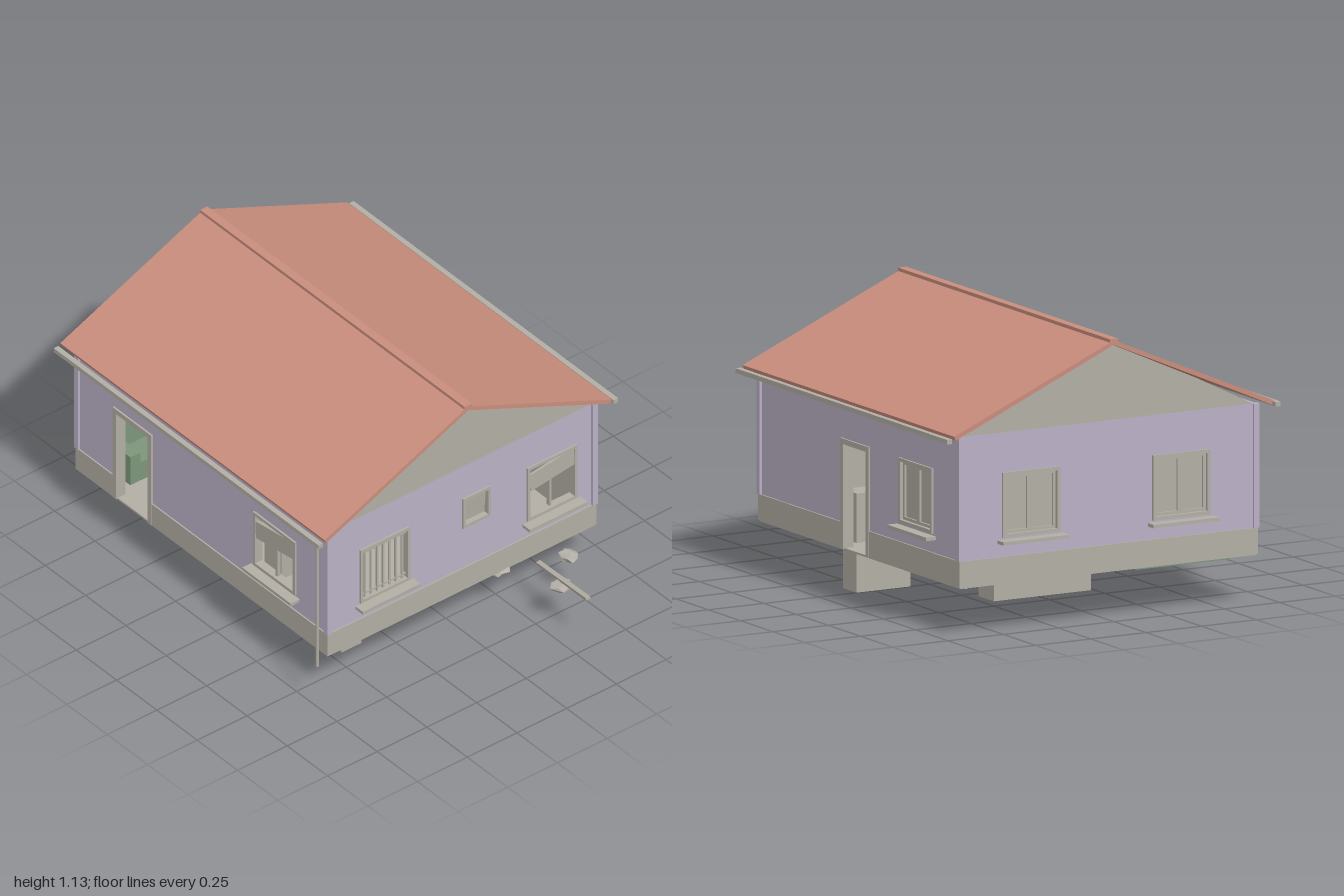
import * as THREE from 'three';

const mat = (name, color) => Object.assign(new THREE.MeshStandardMaterial({ color }), { name });

export function createModel() {
  const house = new THREE.Group();
  house.name = 'house';
  const plaster = mat('greyPlaster', 0xb2aea5);
  const paint = mat('lilacPaint', 0xbab1c6);
  const tile = mat('terracotta', 0xc98d7d);
  const green = mat('greenFabric', 0x7d967a);
  const CX = -0.18, HW = 0.775, HD = 0.67, FLOOR = 0.2, BAND = 0.305, EAVE = 0.8;

  const add = (parent, name, geo, material) => {
    const m = new THREE.Mesh(geo, material);
    m.name = name;
    parent.add(m);
    return m;
  };
  // box given by its limits on each axis
  const box = (parent, name, x0, x1, y0, y1, z0, z1, material = plaster) => {
    const m = add(parent, name, new THREE.BoxGeometry(x1 - x0, y1 - y0, z1 - z0), material);
    m.position.set((x0 + x1) / 2, (y0 + y1) / 2, (z0 + z1) / 2);
    return m;
  };
  // profile in (z, y), extruded from x0 to x1
  const prism = (parent, name, pts, x0, x1, material) => {
    const shape = new THREE.Shape(pts.map(([z, y]) => new THREE.Vector2(-z, y)));
    const g = new THREE.ExtrudeGeometry(shape, { depth: x1 - x0, bevelEnabled: false });
    g.rotateY(Math.PI / 2).translate(x0, 0, 0);
    return add(parent, name, g, material);
  };

  // rectangular trim around an opening
  const frame = (g, name, [a, b, c, d], t, z0, z1, bottom = true) => {
    box(g, name, a, a + t, c, d, z0, z1);
    box(g, name, b - t, b, c, d, z0, z1);
    box(g, name, a + t, b - t, d - t, d, z0, z1);
    if (bottom) box(g, name, a + t, b - t, c, c + t, z0, z1);
  };

  // window kinds: pane (closed), bars (grille), broken (hanging board), vent (small)
  const addWindow = (g, d, { rect, kind }) => {
    const [a, b, c, e] = rect, m = (a + b) / 2;
    frame(g, 'windowFrame', rect, 0.014, d - 0.025, d + 0.008);
    if (kind !== 'vent') box(g, 'windowSill', a - 0.02, b + 0.02, c - 0.022, c - 0.008, d - 0.01, d + 0.045);
    if (kind === 'pane') {
      for (const [p, q] of [[a + 0.014, m], [m, b - 0.014]]) {
        frame(g, 'casement', [p, q, c + 0.014, e - 0.014], 0.012, d - 0.022, d - 0.006);
        box(g, 'windowPane', p, q, c + 0.014, e - 0.014, d - 0.02, d - 0.014);
      }
    } else if (kind === 'bars') {
      for (let i = 1; i < 8; i++) {
        const u = a + ((b - a) * i) / 8;
        box(g, 'windowBar', u - 0.004, u + 0.004, c, e, d - 0.012, d - 0.004);
      }
      for (const y of [c + 0.03, e - 0.03]) box(g, 'windowBar', a, b, y - 0.004, y + 0.004, d - 0.014, d - 0.006);
    } else if (kind === 'broken') {
      box(g, 'mullion', m - 0.006, m + 0.006, c, e, d - 0.022, d - 0.006);
      const board = box(g, 'hangingBoard', a + 0.012, b - 0.012, e - 0.105, e - 0.025, d - 0.004, d + 0.006);
      board.rotation.z = 0.13;
    } else {
      const pane = box(g, 'ventPane', a + 0.01, b - 0.01, c + 0.01, e - 0.01, d - 0.018, d - 0.012);
      pane.rotation.x = 0.08;
    }
  };

  // wall in its own frame, outside facing +z, with notches for doors and holes for windows
  const addWall = (name, w, d, turn, doors, windows) => {
    const g = new THREE.Group();
    g.name = name;
    g.position.x = CX;
    g.rotation.y = turn;
    house.add(g);
    const layer = (part, hw, y0, y1, z0, z1, material) => {
      const s = new THREE.Shape();
      s.moveTo(-hw, y0);
      for (const [a, b, , e] of doors) {
        const top = Math.min(e, y1);
        if (top < y1) s.lineTo(a, y0).lineTo(a, top).lineTo(b, top).lineTo(b, y0);
      }
      s.lineTo(hw, y0).lineTo(hw, y1).lineTo(-hw, y1);
      if (y1 > BAND) {
        for (const { rect: [a, b, c, e] } of windows) {
          s.holes.push(new THREE.Path().moveTo(a, c).lineTo(a, e).lineTo(b, e).lineTo(b, c));
        }
      }
      const geo = new THREE.ExtrudeGeometry(s, { depth: z1 - z0, bevelEnabled: false }).translate(0, 0, z0);
      add(g, part, geo, material);
    };
    layer('outerWall', w, FLOOR, EAVE, d - 0.02, d, paint);
    layer('innerWall', w - 0.02, FLOOR, EAVE, d - 0.04, d - 0.02, plaster);
    // plinth runs between the doors
    let start = -w - 0.006;
    for (const [a, b] of [...doors, [w + 0.006, 0]]) {
      box(g, 'plinth', start, a, FLOOR, BAND, d - 0.01, d + 0.006);
      start = b;
    }
    for (const r of doors) frame(g, 'doorFrame', r, 0.022, d - 0.04, d + 0.008, false);
    windows.forEach((win) => addWindow(g, d, win));
  };

  const win = (a, b, kind, c = 0.38, d = 0.64) => ({ rect: [a, b, c, d], kind });
  addWall('frontWall', HW, HD, 0, [[-0.55, -0.31, FLOOR, 0.64]], [win(0.32, 0.58, 'broken')]);
  addWall('backWall', HW, HD, Math.PI, [[-0.14, 0.08, FLOOR, 0.64]], [win(0.31, 0.57, 'pane')]);
  addWall('gableWallLeft', HD, HW, Math.PI / 2, [],
    [win(-0.51, -0.26, 'bars'), win(0.005, 0.145, 'vent', 0.5, 0.645), win(0.33, 0.58, 'broken')]);
  addWall('gableWallRight', HD, HW, -Math.PI / 2, [], [win(-0.48, -0.22, 'pane'), win(0.2, 0.46, 'pane')]);

  // corner pilasters, floor and ceiling
  for (const sx of [-1, 1]) {
    for (const sz of [-1, 1]) {
      const p = box(house, 'cornerPilaster', -0.0125, 0.0125, BAND, EAVE, -0.0125, 0.0125, paint);
      p.position.x = CX + sx * (HW - 0.0025);
      p.position.z = sz * (HD - 0.0025);
    }
    const x = CX + sx * (HW - 0.01);
    prism(house, 'gable', [[-0.655, EAVE], [0.655, EAVE], [0.4, 0.928], [0, 1.108], [-0.4, 0.928]], x - 0.01, x + 0.01, plaster);
  }
  box(house, 'floor', CX - HW, CX + HW, 0.195, 0.203, -HD, HD);
  box(house, 'ceiling', CX - HW + 0.02, CX + HW - 0.02, 0.79, 0.799, -HD + 0.02, HD - 0.02);

  // roof, ridge cap, gutters and downpipe
  prism(house, 'roof', [[0, 1.126], [-0.722, 0.815], [-0.715, 0.798], [0, 1.108], [0.715, 0.798], [0.722, 0.815]], -1, 0.64, tile);
  box(house, 'ridgeCap', -1, 0.64, 1.112, 1.132, -0.018, 0.018, tile);
  for (const s of [-1, 1]) {
    const gutter = box(house, 'gutter', -1, 0.64, 0.787, 0.806, -0.0115, 0.0115);
    gutter.position.z = s * 0.743;
  }
  const pipe = add(house, 'downpipe', new THREE.CylinderGeometry(0.007, 0.007, 0.6, 8), plaster);
  pipe.position.set(0.618, 0.495, 0.741);

  // inner wall with a doorway, and the loose door leaf
  box(house, 'partition', -0.93, 0, 0.2, 0.79, -0.1, -0.085);
  box(house, 'partition', 0.175, 0.57, 0.2, 0.79, -0.1, -0.085);
  box(house, 'partition', 0, 0.175, 0.62, 0.79, -0.1, -0.085);
  box(house, 'doorLeaf', 0, 0.175, 0.01, 0.42, -0.076, -0.068);

  // sunken cabinets, tables, bed and sofa
  box(house, 'cabinet', 0, 0.105, 0.005, 0.4, -0.58, -0.335);
  box(house, 'cabinet', 0, 0.105, 0.005, 0.4, 0.26, 0.505);
  box(house, 'lowTable', 0.18, 0.56, 0.185, 0.27, 0.19, 0.39);
  box(house, 'crate', 0.46, 0.55, 0.162, 0.25, -0.065, 0.012);
  box(house, 'crate', 0.49, 0.57, 0.155, 0.24, 0.48, 0.58);
  box(house, 'shelf', -0.43, -0.33, 0.16, 0.29, 0.18, 0.47);
  box(house, 'chairSeat', -0.64, -0.49, 0.182, 0.29, 0.04, 0.22);
  box(house, 'chairBack', -0.61, -0.5, 0.29, 0.38, 0.03, 0.06);
  box(house, 'bedBase', -0.91, -0.79, 0.12, 0.28, -0.49, -0.05);
  box(house, 'headboard', -0.93, -0.91, 0.2, 0.54, -0.46, -0.37, green);
  box(house, 'sofaSeat', -0.91, -0.74, 0.18, 0.29, 0.15, 0.58, green);
  box(house, 'sofaBack', -0.92, -0.86, 0.29, 0.42, 0.15, 0.58, green);
  for (const z of [0.15, 0.53]) box(house, 'sofaArm', -0.91, -0.74, 0.29, 0.34, z, z + 0.05, green);
  box(house, 'redTile', -0.42, -0.35, 0.188, 0.206, 0.52, 0.56, tile);
  for (const [x, z, y] of [[-0.645, -0.245, 0.06], [-0.605, -0.31, 0.06], [-0.42, -0.245, 0.06],
    [-0.38, -0.31, 0.06], [-0.55, -0.14, 0.12], [-0.5, -0.185, 0.12]]) {
    box(house, 'stoolLeg', x - 0.006, x + 0.006, y, 0.3, z - 0.006, z + 0.006);
  }

  // rubble and a loose plank outside
  const stone = (x, y, z, rx, ry, rz, seed) => {
    const g = new THREE.DodecahedronGeometry(1, 0);
    const p = g.attributes.position;
    for (let i = 0; i < p.count; i++) {
      const k = 0.9 + 0.16 * Math.sin(seed + 5 * p.getX(i) + 3 * p.getY(i) + 4 * p.getZ(i));
      p.setXYZ(i, p.getX(i) * k * rx, p.getY(i) * k * ry, p.getZ(i) * k * rz);
    }
    g.computeVertexNormals();
    add(house, 'stone', g, plaster).position.set(x, y, z);
  };
  stone(0.685, 0.195, -0.47, 0.05, 0.024, 0.05, 1);
  stone(0.815, 0.197, -0.325, 0.045, 0.027, 0.06, 2);
  stone(0.58, 0.193, -0.21, 0.04, 0.022, 0.05, 4);
  const plank = box(house, 'plank', 0.652, 1, 0.22, 0.232, -0.337, -0.317);
  plank.rotation.set(0.1, -0.07, 0.12);
  return house;
}
